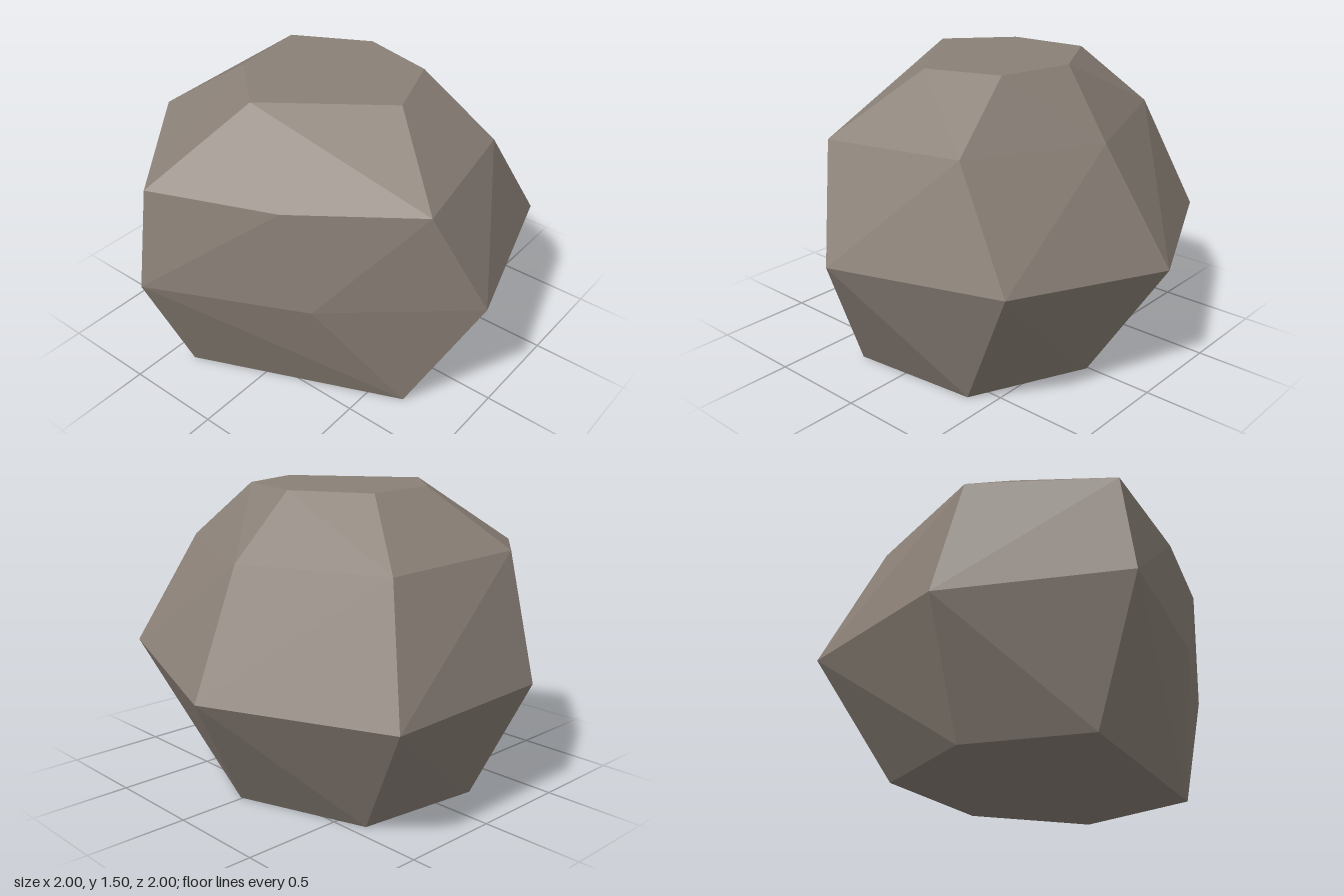
import * as THREE from 'three';
import { ConvexGeometry } from 'three/addons/geometries/ConvexGeometry.js';

// Corner rings of the boulder, bottom to top, each corner as [x, y, z]
const rings = [
  // base
  [[-0.73, 0, -0.37], [-0.22, 0, -0.72], [0.43, 0, -0.64], [0.65, 0, 0.01], [0.38, 0, 0.6], [-0.28, 0, 0.67]],
  // widest girth
  [[-1, 0.65, -0.38], [-0.34, 0.6, -0.98], [0.6, 0.59, -1], [1, 0.6, -0.13], [0.73, 0.68, 0.74],
    [-0.12, 0.665, 1], [-0.62, 0.63, 0.36]],
  // shoulder
  [[-0.91, 1.155, -0.38], [-0.34, 1.22, -0.82], [0.41, 1.19, -0.77], [0.68, 1.18, -0.03], [0.4, 1.21, 0.66],
    [-0.31, 1.19, 0.79], [-0.66, 1.15, 0.22]],
  // flat top
  [[-0.45, 1.5, -0.13], [-0.19, 1.5, -0.42], [0.21, 1.5, -0.46], [0.41, 1.5, -0.09], [0.32, 1.5, 0.29],
    [-0.04, 1.5, 0.42]],
];

export function createModel() {
  const stone = new THREE.MeshStandardMaterial({ color: 0x8a8077 });
  stone.name = 'stone';
  stone.flatShading = true;

  // Faceted skin stretched over the rings
  const corners = rings.flat().map((p) => new THREE.Vector3(...p));
  const boulder = new THREE.Mesh(new ConvexGeometry(corners), stone);
  boulder.name = 'boulder';

  const model = new THREE.Group();
  model.name = 'rock';
  model.add(boulder);
  return model;
}
